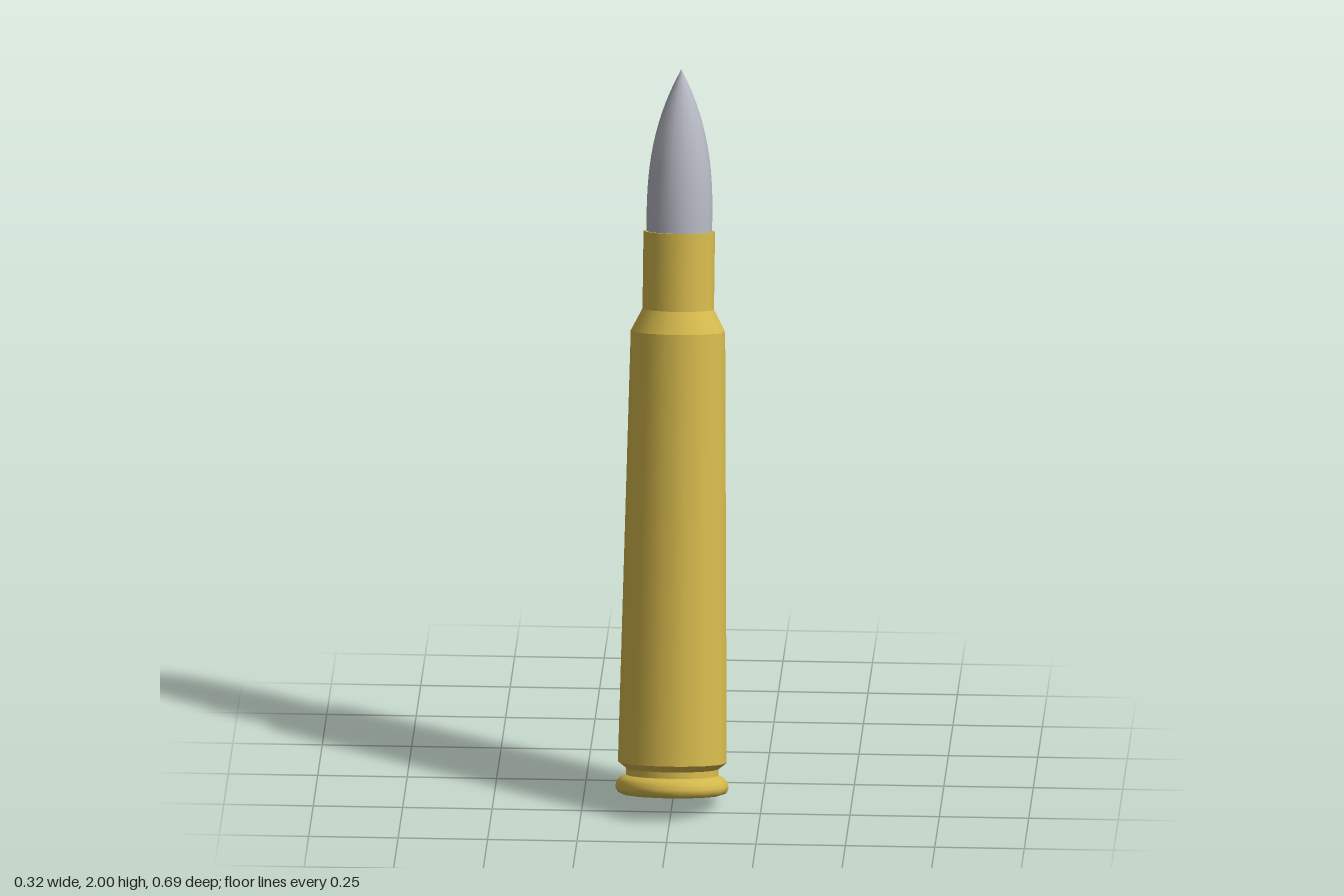
import * as THREE from 'three';

const SIDES = 14;

// Smooth turned section; separate sections meet at sharp edges
function turned(name, points, material) {
  const profile = points.map(([r, y]) => new THREE.Vector2(r, y));
  const mesh = new THREE.Mesh(new THREE.LatheGeometry(profile, SIDES, Math.PI / SIDES), material);
  mesh.name = name;
  return mesh;
}

export function createModel() {
  const brass = new THREE.MeshStandardMaterial({ color: 0xd4b84c });
  brass.name = 'brass';
  const steel = new THREE.MeshStandardMaterial({ color: 0xb5b7c1 });
  steel.name = 'steel grey';

  // Pointed nose: full at the case mouth, curving in to the tip
  const noseStart = 1.61, tip = 2.031, nose = [[0.09, 1.55]];
  for (let i = 0; i <= 14; i++) {
    const t = i / 14;
    nose.push([0.092 * (1 - t ** 2.5), noseStart + (tip - noseStart) * t]);
  }

  const cartridge = new THREE.Group();
  cartridge.name = 'cartridge';
  cartridge.add(
    // Base with a shallow primer recess
    turned('primer', [[0, 0.005], [0.07, 0.005]], brass),
    turned('primerEdge', [[0.07, 0.005], [0.072, 0]], brass),
    turned('baseFace', [[0.072, 0], [0.138, 0]], brass),
    // Rounded rim and extractor groove
    turned('rim', [[0.138, 0], [0.15, 0.004], [0.157, 0.014], [0.158, 0.024],
      [0.154, 0.038], [0.145, 0.048], [0.129, 0.054]], brass),
    turned('groove', [[0.129, 0.054], [0.129, 0.072]], brass),
    turned('grooveChamfer', [[0.129, 0.072], [0.152, 0.09]], brass),
    // Tapered case, shoulder, neck and lip
    turned('caseBody', [[0.152, 0.09], [0.132, 1.298]], brass),
    turned('shoulder', [[0.132, 1.298], [0.1, 1.36]], brass),
    turned('neck', [[0.1, 1.36], [0.1, 1.578]], brass),
    turned('mouthLip', [[0.1, 1.578], [0.088, 1.578]], brass),
    turned('bullet', nose, steel)
  );

  // Lean the whole round backwards
  cartridge.rotation.x = THREE.MathUtils.degToRad(-15);
  cartridge.position.set(0, 0.038, 0.2);

  const model = new THREE.Group();
  model.name = 'model';
  model.add(cartridge);
  return model;
}
